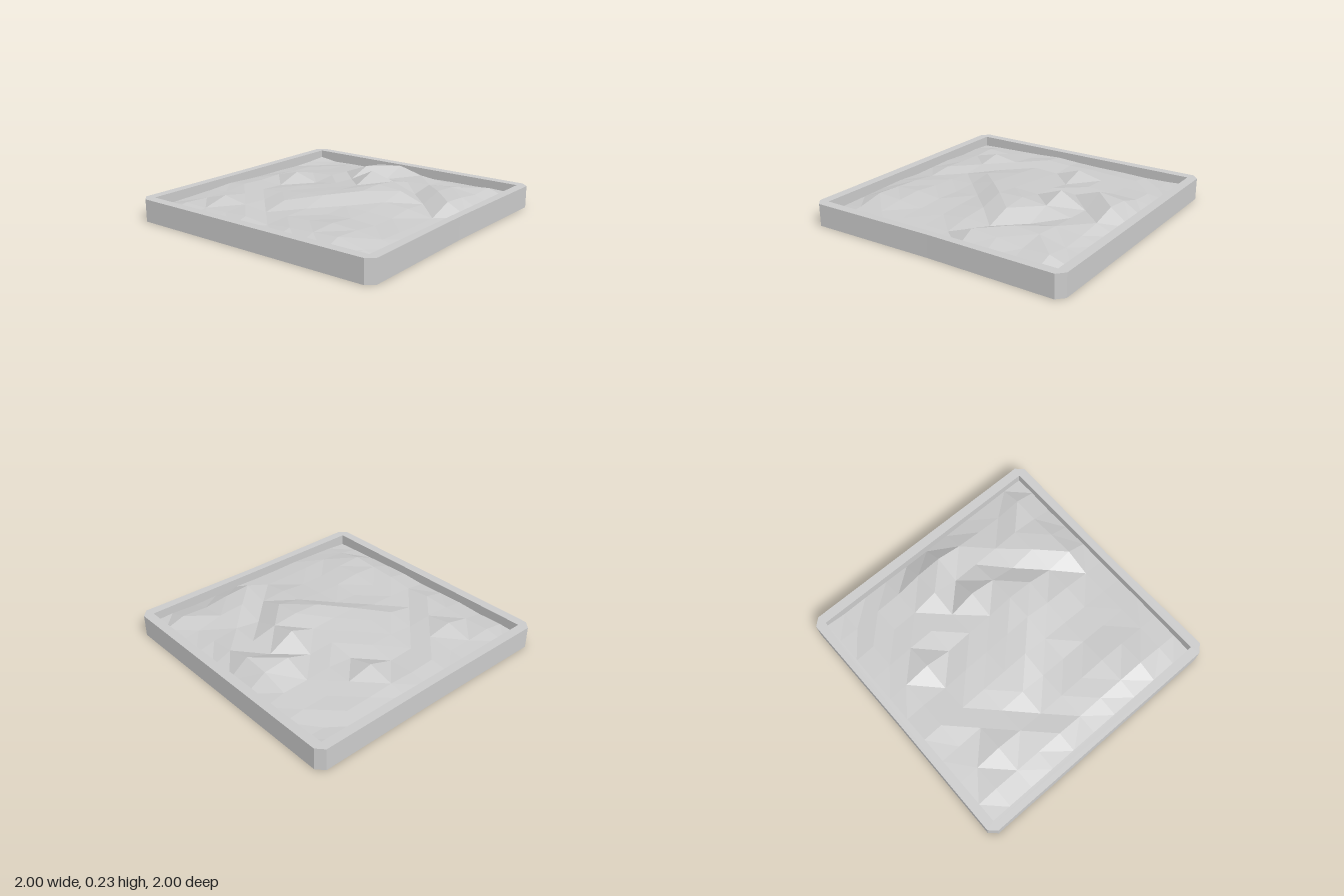
import * as THREE from 'three';

// Sand heights in thousandths: rows run back to front, columns run along x
const HEIGHTS = [
  [105, 85, 90, 90, 85, 85, 90, 95, 95, 100, 95],
  [95, 85, 110, 125, 180, 198, 150, 130, 120, 150, 100],
  [90, 110, 115, 130, 205, 130, 140, 150, 165, 140, 90],
  [95, 115, 130, 140, 140, 235, 185, 120, 178, 165, 95],
  [95, 125, 175, 120, 150, 165, 205, 190, 125, 178, 100],
  [100, 120, 110, 140, 155, 175, 198, 150, 140, 110, 95],
  [110, 130, 120, 140, 160, 178, 135, 130, 120, 110, 95],
  [100, 110, 130, 120, 150, 125, 120, 130, 120, 115, 100],
  [95, 110, 163, 130, 110, 120, 130, 150, 140, 120, 95],
  [90, 120, 115, 120, 130, 110, 130, 140, 150, 110, 90],
  [85, 95, 90, 100, 95, 90, 100, 95, 90, 85, 80],
];
const RIM = 0.163, FLOOR = 0.02, INNER = 0.93;

// Flat outline (x, -z) with cut corners and slightly bowed sides
function outline() {
  const points = [
    [-0.945, -1], [0.945, -1], [1, -0.95], [0.985, 0], [1, 0.95],
    [0.945, 1], [-0.945, 1], [-1, 0.95], [-0.994, 0], [-1, -0.95],
  ];
  return new THREE.Shape(points.map(([x, y]) => new THREE.Vector2(x, y)));
}

// Extrudes a flat shape upward from a given height
function slab(name, shape, bottom, top, material) {
  const geometry = new THREE.ExtrudeGeometry(shape, { depth: top - bottom, bevelEnabled: false });
  geometry.rotateX(-Math.PI / 2).translate(0, bottom, 0);
  const mesh = new THREE.Mesh(geometry, material);
  mesh.name = name;
  return mesh;
}

// Faceted sand: each cell is split along its more level diagonal
function sandGeometry() {
  const n = HEIGHTS.length - 1;
  const positions = [], index = [];
  const place = (i) => THREE.MathUtils.clamp((i - n / 2) * 0.194, -INNER, INNER);
  HEIGHTS.forEach((row, j) => row.forEach((h, i) => positions.push(place(i), h / 1000, place(j))));
  for (let j = 0; j < n; j++) {
    for (let i = 0; i < n; i++) {
      const a = j * (n + 1) + i, b = a + 1, c = a + n + 1, d = c + 1;
      const fall = Math.abs(HEIGHTS[j][i] - HEIGHTS[j + 1][i + 1]);
      const rise = Math.abs(HEIGHTS[j][i + 1] - HEIGHTS[j + 1][i]);
      if (fall < rise) index.push(a, c, d, a, d, b);
      else index.push(a, c, b, b, c, d);
    }
  }
  const geometry = new THREE.BufferGeometry();
  geometry.setAttribute('position', new THREE.Float32BufferAttribute(positions, 3));
  geometry.setIndex(index);
  geometry.computeVertexNormals();
  return geometry;
}

export function createModel() {
  const group = new THREE.Group();
  group.name = 'sandTray';
  const material = new THREE.MeshStandardMaterial({ color: 0xcccccc, flatShading: true });

  // Raised border around a square opening
  const border = outline();
  border.holes.push(new THREE.Path([
    new THREE.Vector2(-INNER, -INNER), new THREE.Vector2(-INNER, INNER),
    new THREE.Vector2(INNER, INNER), new THREE.Vector2(INNER, -INNER),
  ]));
  group.add(slab('border', border, FLOOR, RIM, material));

  // Closed underside
  group.add(slab('floor', outline(), 0, FLOOR, material));

  // Uneven sand filling the tray
  const sandMaterial = material.clone();
  sandMaterial.side = THREE.DoubleSide;
  const sand = new THREE.Mesh(sandGeometry(), sandMaterial);
  sand.name = 'sand';
  group.add(sand);

  return group;
}
